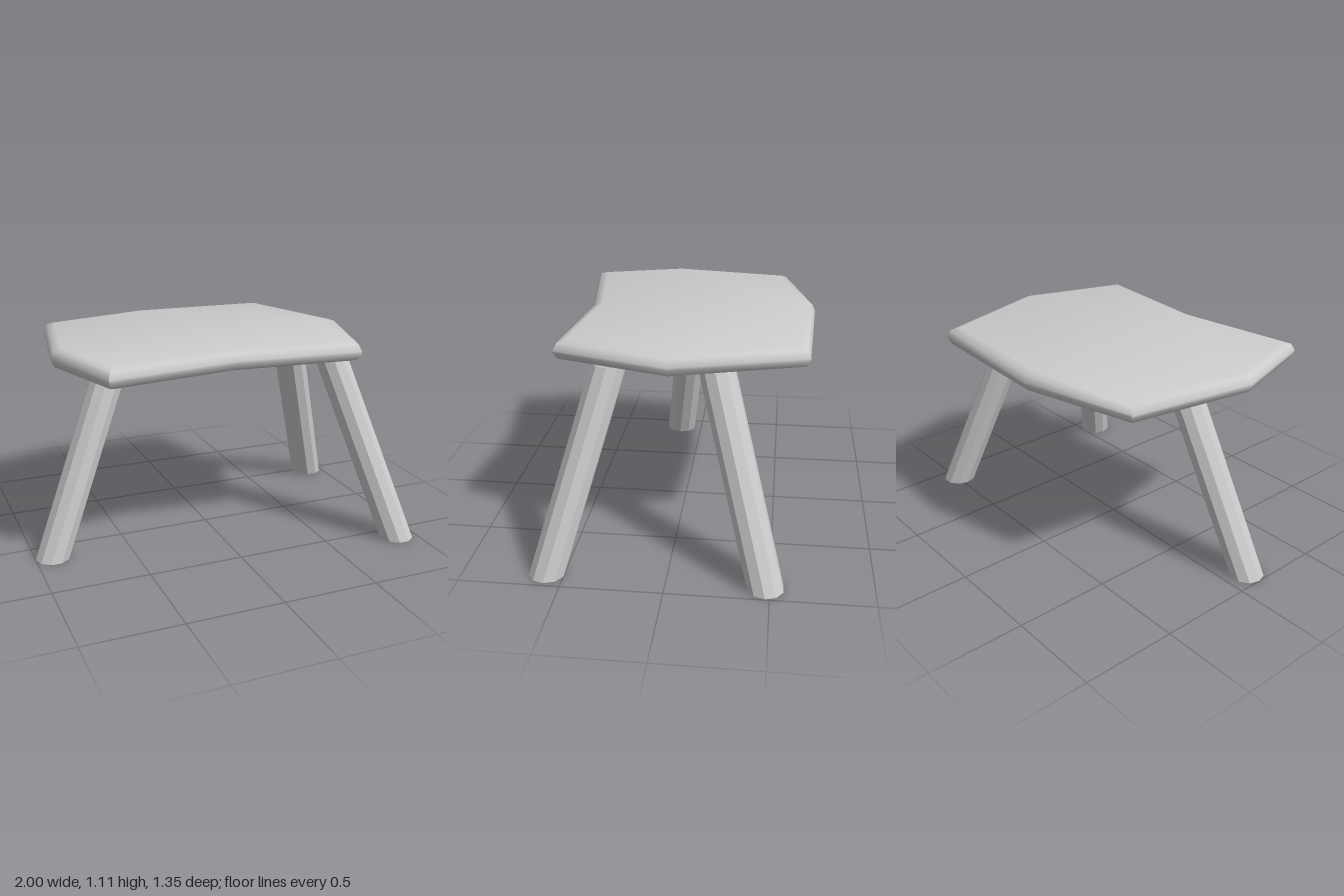
import * as THREE from 'three';
import { toCreasedNormals } from 'three/addons/utils/BufferGeometryUtils.js';

const SEAT_BOTTOM = 1.0;
const LEG_RADIUS = 0.09;

// Seat outline as [x, z] corners
const OUTLINE = [
  [-0.75, -0.53], [-0.16, -0.68], [0.6, -0.645], [0.8, 0],
  [0.62, 0.565], [-0.04, 0.51], [-0.71, 0.61], [-0.86, 0.12],
];

// Irregular slab with a softly rounded rim
function createSeat(material) {
  const shape = new THREE.Shape(OUTLINE.map(([x, z]) => new THREE.Vector2(x, -z)));
  const bevel = 0.0475;
  const slab = new THREE.ExtrudeGeometry(shape, {
    depth: 0.01,
    bevelThickness: bevel,
    bevelSize: 0.055,
    bevelOffset: -0.055,
    bevelSegments: 2,
  });
  slab.rotateX(-Math.PI / 2).translate(0, SEAT_BOTTOM + bevel, 0);
  const seat = new THREE.Mesh(toCreasedNormals(slab, Math.PI / 3), material);
  seat.name = 'seat';
  return seat;
}

// Open faceted tube, sheared so both ends stay level
function createLeg(name, foot, top, material) {
  const geometry = new THREE.CylinderGeometry(LEG_RADIUS, LEG_RADIUS, SEAT_BOTTOM, 10, 1, true);
  geometry.rotateY(Math.PI / 2).translate(0, SEAT_BOTTOM / 2, 0);
  const pos = geometry.attributes.position;
  for (let i = 0; i < pos.count; i++) {
    const t = pos.getY(i) / SEAT_BOTTOM;
    pos.setX(i, pos.getX(i) + THREE.MathUtils.lerp(foot[0], top[0], t));
    pos.setZ(i, pos.getZ(i) + THREE.MathUtils.lerp(foot[1], top[1], t));
  }
  geometry.computeVertexNormals();
  const leg = new THREE.Mesh(geometry, material);
  leg.name = name;
  return leg;
}

export function createModel() {
  const stool = new THREE.Group();
  stool.name = 'stool';
  const seatMaterial = new THREE.MeshStandardMaterial({ color: 0xcccccc });
  const legMaterial = new THREE.MeshStandardMaterial({
    color: 0xcccccc, flatShading: true, side: THREE.DoubleSide,
  });

  stool.add(createSeat(seatMaterial));

  // Splayed legs: foot centre and top centre as [x, z]
  stool.add(
    createLeg('frontLeftLeg', [0.89, 0.585], [0.585, 0.3], legMaterial),
    createLeg('backLeftLeg', [0.905, -0.48], [0.595, -0.21], legMaterial),
    createLeg('rightLeg', [-0.91, 0.13], [-0.51, 0], legMaterial),
  );
  return stool;
}
